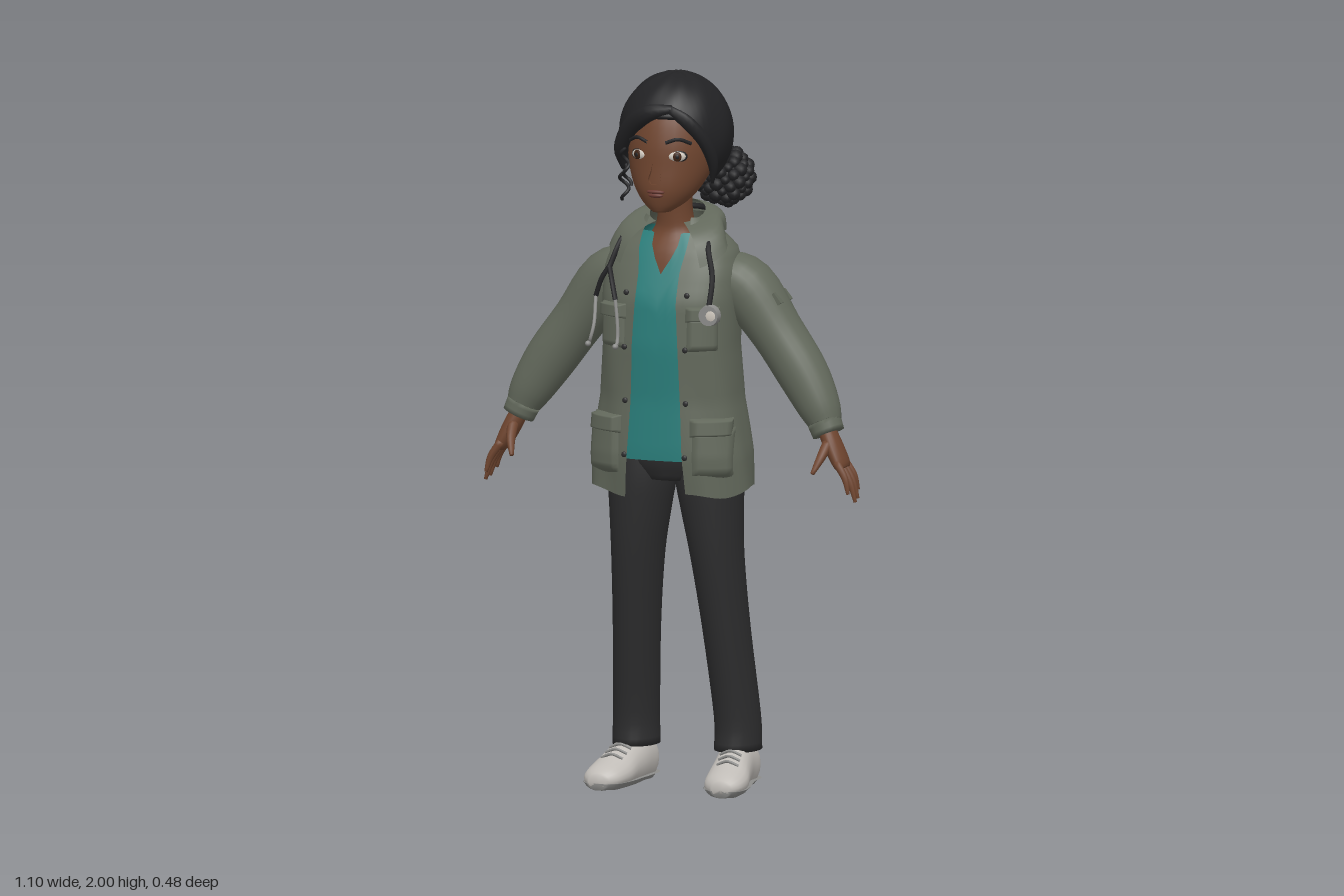
import * as THREE from 'three';
import { mergeGeometries } from 'three/addons/utils/BufferGeometryUtils.js';

const V = (x, y, z) => new THREE.Vector3(x, y, z);
const lerp = THREE.MathUtils.lerp, TAU = Math.PI * 2, N = 2.4;
const colour = (name, hex) => { const m = new THREE.MeshStandardMaterial({ color: hex }); m.name = name; return m; };

// Surface from a point rule f(u, v); closed surfaces wrap in u
function grid(f, nu, nv, closed = false) {
  const pos = [], idx = [], w = closed ? nu : nu + 1;
  for (let j = 0; j <= nv; j++) for (let i = 0; i < w; i++) pos.push(...f(i / nu, j / nv).toArray());
  for (let j = 0; j < nv; j++) for (let i = 0; i < nu; i++) {
    const a = j * w + i, b = j * w + (i + 1) % w;
    idx.push(a, b, b + w, a, b + w, a + w);
  }
  const g = new THREE.BufferGeometry();
  g.setAttribute('position', new THREE.Float32BufferAttribute(pos, 3));
  g.setIndex(idx);
  g.computeVertexNormals();
  return g;
}

// Capped limb through keys [x, y, z, radiusA, radiusB]; dir fixes the ring plane
function limb(keys, { dir = null, up = V(0, 0, 1), nu = 20, steps = 4, yMin = -9, yMax = 9 } = {}) {
  const path = new THREE.CatmullRomCurve3(keys.map(k => V(k[0], k[1], k[2])), false, 'catmullrom');
  const size = new THREE.CatmullRomCurve3(keys.map(k => V(k[3], k[4], 0)), false, 'catmullrom');
  const rows = (keys.length - 1) * steps + 2;
  return grid((u, v) => {
    const row = Math.round(v * rows), cap = row === 0 || row === rows;
    const t = THREE.MathUtils.clamp((row - 1) / (rows - 2), 0, 1);
    const d = dir || path.getTangent(t), r = size.getPoint(t);
    const A = up.clone().cross(d).normalize(), B = d.clone().cross(A);
    const p = path.getPoint(t);
    if (!cap) p.addScaledVector(A, Math.cos(u * TAU) * r.x).addScaledVector(B, Math.sin(u * TAU) * r.y);
    p.y = THREE.MathUtils.clamp(p.y, yMin, yMax);
    return p;
  }, nu, rows, true);
}

// Torso profile: height, half width, front z, back z, half opening
const PROFILE = [[.85, .23, .17, -.115, .088], [.95, .225, .178, -.115, .08], [1.1, .2, .172, -.108, .073],
  [1.25, .192, .178, -.102, .068], [1.38, .195, .17, -.1, .06], [1.46, .195, .14, -.1, .06],
  [1.52, .175, .115, -.098, .07], [1.56, .125, .09, -.09, .07], [1.6, .085, .065, -.075, .06]];
function profile(y) {
  let i = 0;
  while (i < PROFILE.length - 2 && y > PROFILE[i + 1][0]) i++;
  const a = PROFILE[i], b = PROFILE[i + 1], t = THREE.MathUtils.clamp((y - a[0]) / (b[0] - a[0]), 0, 1);
  return a.map((q, k) => lerp(q, b[k], t));
}
const pow = (q, e) => Math.sign(q) * Math.abs(q) ** e;
function torso(t, y, off = 0) {
  const [, rx, f, b] = profile(y);
  return V((rx + off) * pow(Math.sin(t), 2 / N), y, (f + b) / 2 + ((f - b) / 2 + off) * pow(Math.cos(t), 2 / N));
}
const angleAt = (x, y) => Math.asin(Math.min(.97, (Math.abs(x) / profile(y)[1]) ** (N / 2))) * Math.sign(x);
const front = (x, y, off = 0) => torso(angleAt(x, y), y, off);

export function createModel() {
  const root = new THREE.Group();
  const jacket = colour('jacket green', 0x62685b), shirt = colour('shirt teal', 0x2a7d7a);
  const trousers = colour('trouser charcoal', 0x2d2d2e), hair = colour('hair black', 0x222224);
  const skin = colour('skin brown', 0x6f452f), shoe = colour('shoe white', 0xc0bcb7);
  const metal = colour('metal grey', 0x8c8c8a), white = colour('eye white', 0xcfc8be);
  const iris = colour('iris brown', 0x3f2415), lip = colour('lip', 0x6a3a32);
  jacket.side = shirt.side = hair.side = THREE.DoubleSide;
  const add = (name, geo, mat, x = 0, y = 0, z = 0) => {
    const m = new THREE.Mesh(geo, mat);
    m.name = name; m.position.set(x, y, z); root.add(m);
    return m;
  };
  const ball = (name, mat, p, s) => {
    const m = add(name, new THREE.SphereGeometry(1, 16, 10), mat, ...p);
    m.scale.set(...s);
    return m;
  };
  const tube = (name, pts, r, mat) =>
    add(name, new THREE.TubeGeometry(new THREE.CatmullRomCurve3(pts), 40, r, 8), mat);
  const UP = V(0, 1, 0), FWD = V(0, 0, 1);

  // Jacket body, open down the front
  add('jacketBody', grid((u, v) => {
    let y = lerp(.85, 1.6, v);
    const a = angleAt(profile(y)[4], y), t = lerp(a, TAU - a, u);
    const fold = .004 * Math.sin(8 * t + 11 * y) * Math.max(0, 1 - v * 1.4);
    const p = torso(t, y, fold);
    p.y += (1 - v) ** 6 * (.008 * Math.sin(5 * t) - .012 * Math.cos(t));
    return p;
  }, 56, 36), jacket);
  // Folded collar
  add('collar', grid((u, v) => {
    const t = lerp(.55, TAU - .55, u), c = Math.cos(t);
    const top = V(.078 * Math.sin(t), 1.608 - .025 * c, -.005 + .07 * c);
    const p = top.lerp(torso(t, 1.56 - .1 * Math.max(0, c), .012), v);
    const bulge = .018 * Math.sin(Math.PI * v);
    return p.add(V(Math.sin(t) * bulge, bulge, c * bulge));
  }, 36, 8), jacket);
  // Shirt with a V neck
  add('shirt', grid((u, v) => {
    const t = u * TAU, c = Math.cos(t);
    const top = c > 0 ? Math.min(1.56, 1.45 + .3 * Math.abs(Math.sin(t)) ** (2 / N)) : 1.56;
    return torso(t, lerp(.935, top, v), -.018);
  }, 64, 24, true), shirt);
  add('neck', limb([[0, 1.4, .02, .14, .095], [0, 1.5, .008, .12, .085], [0, 1.555, .002, .068, .06],
    [0, 1.6, .012, .05, .047], [0, 1.69, .02, .05, .047]], { dir: UP }), skin);

  // Trousers
  add('hips', limb([[0, .87, .005, .1, .09], [0, .93, .005, .185, .11], [0, 1.02, .01, .18, .11]], { dir: UP }), trousers);
  for (const s of [1, -1]) {
    const side = s > 0 ? 'left' : 'right';
    const K = keys => keys.map(([x, ...r]) => [x * s, ...r]);
    add(side + 'TrouserLeg', limb(K([[.15, .105, -.078, .064, .081], [.149, .2, -.075, .063, .077], [.132, .45, -.035, .064, .083],
      [.117, .65, -.006, .072, .09], [.106, .78, .004, .085, .096], [.099, .88, .006, .096, .1], [.095, 1, 0, .09, .1]]),
      { dir: UP, nu: 28 }), trousers);

    // Shoes with soles and laces
    const last = grow => K([[.15, .055, -.15, .033, .045], [.15, .06, -.12, .05, .068], [.152, .065, -.06, .053, .072],
      [.162, .052, 0, .056, .062], [.172, .037, .06, .062, .046], [.178, .03, .11, .054, .034], [.182, .024, .14, .026, .02]]
      .map(k => [k[0], k[1], k[2], k[3] + grow, k[4] + grow]));
    add(side + 'Shoe', limb(last(0), { dir: FWD, up: UP, yMin: .012 }), shoe);
    add(side + 'Sole', limb(last(.003), { dir: FWD, up: UP, yMin: 0, yMax: .02 }), metal);
    for (let i = 0; i < 3; i++) {
      const z = .01 + i * .022, y = .113 - i * .011, x = .163 + i * .004;
      tube(side + 'Lace', [V((x - .032) * s, y - .012, z), V(x * s, y, z + .004), V((x + .032) * s, y - .012, z)], .004, metal);
    }

    // Sleeve and cuff
    add(side + 'Sleeve', limb(K([[.12, 1.45, -.005, .06, .08], [.2, 1.405, -.012, .085, .085], [.29, 1.29, -.01, .074, .076],
      [.37, 1.18, 0, .072, .07], [.425, 1.09, .014, .06, .058], [.452, 1.035, .024, .043, .042]]), { nu: 24 }), jacket);
    add(side + 'Cuff', limb(K([[.443, 1.052, .022, .048, .047], [.458, 1.018, .026, .045, .045]])), jacket);

    // Hand with fingers
    add(side + 'Palm', limb(K([[.452, 1.03, .027, .025, .028], [.475, .985, .032, .025, .036],
      [.498, .94, .034, .021, .04], [.506, .925, .034, .014, .034]])), skin);
    [[.064, .077, .86], [.044, .05, .835], [.023, .023, .842], [.004, -.004, .862]].forEach(([z0, z1, y], i) => {
      const x = .546 - (y - .835) * .45;
      add(side + 'Finger' + (i + 1), limb(K([[.495, .945, z0, .012, .011], [(.495 + x) / 2 + .008, (.945 + y) / 2, (z0 + z1) / 2, .01, .0095],
        [x, y, z1, .005, .005]]), { nu: 8 }), skin);
    });
    add(side + 'Thumb', limb(K([[.465, .995, .05, .016, .016], [.458, .96, .085, .013, .013], [.444, .918, .115, .006, .006]]), { nu: 10 }), skin);

    // Pockets, flaps and buttons
    const patch = (name, x0, x1, y0, y1, thick) => add(side + name, grid((u, v) => {
      const edge = Math.min(u, 1 - u, v, 1 - v);
      return front(s > 0 ? lerp(x0, x1, u) : lerp(-x1, -x0, u), lerp(y0, y1, v), -.006 + (thick + .006) * Math.min(1, edge * 7));
    }, 14, 14), jacket);
    patch('LowerPocket', .1, .212, .89, 1.04, .012);
    patch('LowerPocketFlap', .095, .205, 1.005, 1.06, .02);
    patch('ChestPocket', .088, .172, 1.24, 1.35, .009);
    patch('ChestPocketFlap', .084, .175, 1.325, 1.37, .015);
    for (const y of [.95, 1.1, 1.25, 1.4]) ball(side + 'Button', trousers, front(s * .088, y, .003).toArray(), [.008, .008, .005]);

    // Eyes and brows
    const eye = (name, mat, r, dz) => {
      const m = ball(side + name, mat, [s * (.056 + dz * .4), 1.785, .143 + dz], r);
      m.rotation.y = s * .42;
    };
    eye('EyeLine', hair, [.029, .0175, .008], -.001);
    eye('Eye', white, [.025, .0145, .009], .001);
    eye('Iris', iris, [.0125, .0135, .005], .0065);
    eye('Pupil', hair, [.006, .0065, .003], .0095);
    tube(side + 'Brow', [V(s * .027, 1.823, .158), V(s * .06, 1.833, .147), V(s * .09, 1.82, .124)], .005, hair);
  }

  // Sleeve tab on the left upper arm
  const tab = add('sleeveTab', new THREE.BoxGeometry(.035, .012, .09), jacket, .305, 1.385, -.01);
  tab.rotation.z = -.9;

  // Head, nose and mouth
  add('head', limb([[0, 1.626, .115, .026, .032], [0, 1.65, .092, .06, .066], [0, 1.69, .066, .092, .101], [0, 1.75, .037, .117, .127],
    [0, 1.82, .02, .126, .138], [0, 1.9, .005, .115, .128], [0, 1.95, 0, .075, .085]], { dir: UP, nu: 32 }), skin);
  add('nose', limb([[0, 1.795, .152, .009, .009], [0, 1.75, .164, .011, .013], [0, 1.722, .172, .018, .018], [0, 1.708, .166, .012, .01]], { dir: UP }), skin);
  ball('upperLip', lip, [0, 1.686, .164], [.027, .006, .009]);
  ball('lowerLip', lip, [0, 1.676, .163], [.022, .007, .009]);

  // Hair cap: its lower edge drops from the forehead to the nape, then turns inward
  add('hairCap', grid((u, v) => {
    const t = u * TAU, a = Math.abs(u > .5 ? TAU - t : t);
    const end = lerp(1.2, 2.45, THREE.MathUtils.smoothstep(a, .45, 1.75));
    const phi = Math.min(1, (1 - v) / .92) * end;
    const k = (v < .08 ? lerp(.84, 1, v / .08) : 1) * (1 + .006 * Math.sin(9 * t + 5 * phi));
    return V(.157 * k * Math.sin(phi) * Math.sin(t), 1.83 + .17 * k * Math.cos(phi), .004 + .164 * k * Math.sin(phi) * Math.cos(t));
  }, 56, 36, true), hair);
  // Swept locks and loose curls
  const lock = (name, keys) => add(name, limb(keys, { nu: 10 }), hair);
  lock('rightFrontLock', [[.04, 1.915, .14, .012, .012], [-.03, 1.9, .15, .024, .016], [-.09, 1.855, .122, .026, .02], [-.13, 1.79, .085, .022, .024], [-.132, 1.73, .06, .008, .01]]);
  lock('leftFrontLock', [[.03, 1.915, .142, .012, .012], [.08, 1.88, .13, .02, .016], [.118, 1.825, .098, .018, .022], [.13, 1.76, .062, .014, .02], [.122, 1.7, .045, .004, .005]]);
  const curl = (name, x, z, y0, y1, turns, r) => tube(name, Array.from({ length: 25 }, (_, i) => {
    const t = i / 24;
    return V(x + r * Math.cos(t * turns * TAU) + .015 * t, lerp(y0, y1, t), z + r * Math.sin(t * turns * TAU));
  }), .005, hair);
  curl('longCurl', -.135, .08, 1.79, 1.645, 2.5, .011);
  curl('shortCurl', -.12, .1, 1.8, 1.69, 2, .009);

  // Curly bun
  const bits = [new THREE.IcosahedronGeometry(.072, 2)];
  for (let i = 0; i < 90; i++) {
    const y = 1 - (i + .5) / 45, r = Math.sqrt(1 - y * y), a = i * 2.39996;
    bits.push(new THREE.IcosahedronGeometry(.014 + .003 * (i % 3), 1).translate(.07 * r * Math.cos(a), .07 * y, .07 * r * Math.sin(a)));
  }
  add('hairBun', mergeGeometries(bits), hair, .078, 1.687, -.16);

  // Stethoscope: neck tube, chest piece, ear arms
  tube('stethoscopeTube', [front(.14, 1.37, .02), front(.142, 1.45, .016), front(.118, 1.53, .016), V(.108, 1.592, 0), V(.06, 1.607, -.085),
    V(-.06, 1.607, -.085), V(-.108, 1.592, 0), front(-.118, 1.53, .016), front(-.138, 1.46, .018)], .008, hair);
  const disc = add('chestPiece', new THREE.CylinderGeometry(.028, .03, .022, 20), metal, ...front(.14, 1.35, .025).toArray());
  disc.rotation.x = Math.PI / 2;
  ball('chestPieceFace', white, front(.14, 1.35, .035).toArray(), [.019, .019, .005]);
  for (const [x, xe, ze] of [[-.172, -.185, .19], [-.102, -.095, .215]]) {
    const mid = front(x, 1.38, .022);
    tube('earTubeUpper', [front(-.138, 1.465, .018), front((x - .138) / 2, 1.43, .022), mid], .007, hair);
    tube('earTubeLower', [mid, V(x, 1.31, .19), V((x + xe) / 2, 1.272, .2), V(xe, 1.26, ze)], .005, metal);
    ball('earTip', metal, [xe, 1.258, ze + .01], [.008, .008, .011]);
  }
  return root;
}
